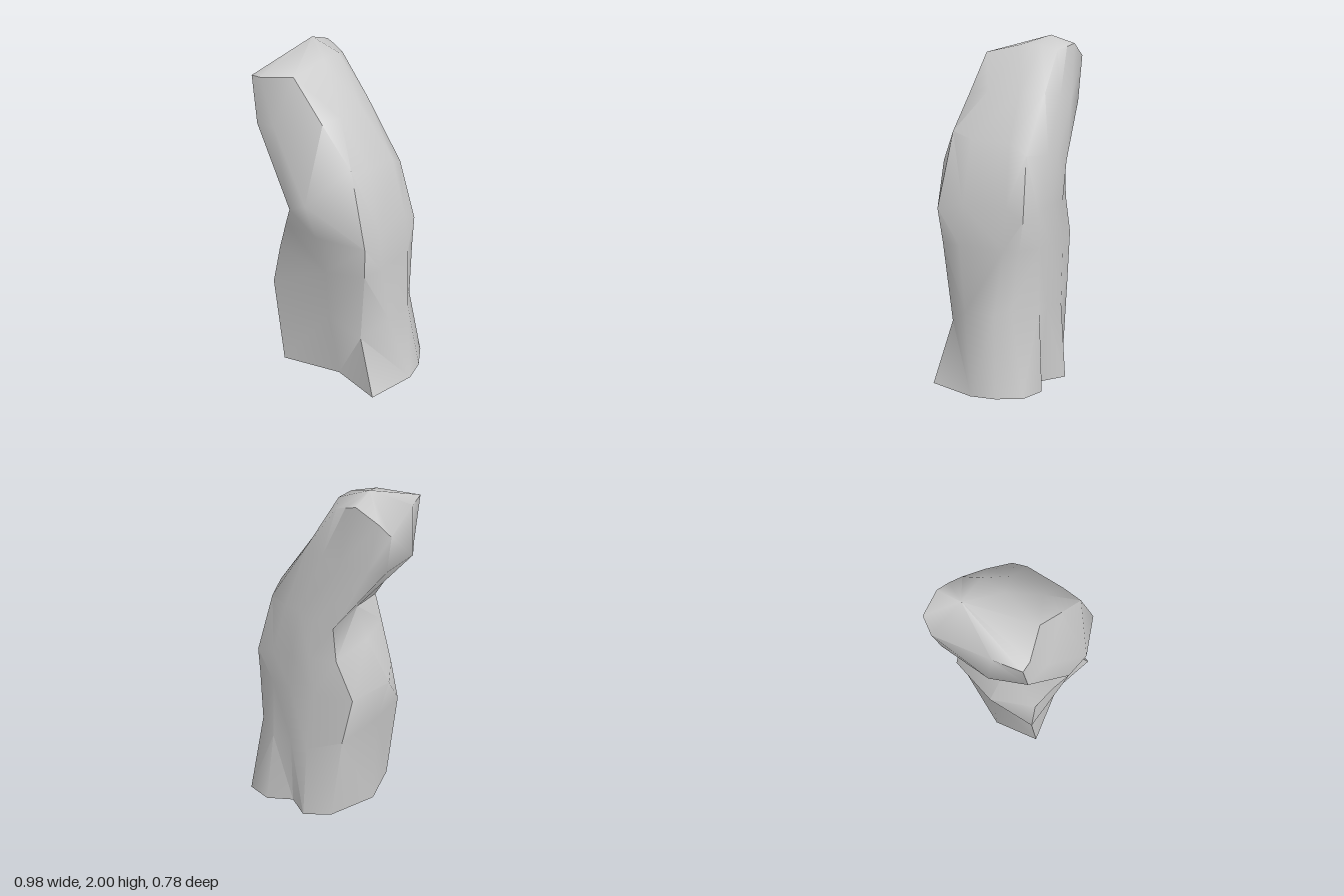
import * as THREE from 'three';
import { toCreasedNormals } from 'three/addons/utils/BufferGeometryUtils.js';

// One cross-section: x, z (and optional lift) per corner, counter-clockwise from
// the front left, lying on a plane at height y that rises by slope along x.
function ring(y, slope, corners) {
  return corners.map(([x, z, lift = 0]) => new THREE.Vector3(x, y + slope * x + lift, z));
}

// Joins the cross-sections with walls and closes both ends with fans.
function loft(rings, bottomPoint, topPoint) {
  const n = rings[0].length;
  const positions = [];
  const tri = (...corners) => corners.forEach((p) => positions.push(p.x, p.y, p.z));
  for (let r = 0; r < rings.length - 1; r++) {
    for (let i = 0; i < n; i++) {
      const j = (i + 1) % n;
      const a = rings[r][i], b = rings[r][j], c = rings[r + 1][j], d = rings[r + 1][i];
      // split along the shorter diagonal
      if (a.distanceTo(c) < b.distanceTo(d)) { tri(a, b, c); tri(a, c, d); }
      else { tri(a, b, d); tri(b, c, d); }
    }
  }
  const first = rings[0], last = rings[rings.length - 1];
  for (let i = 0; i < n; i++) {
    const j = (i + 1) % n;
    tri(bottomPoint, first[j], first[i]);
    tri(topPoint, last[i], last[j]);
  }
  const geometry = new THREE.BufferGeometry();
  geometry.setAttribute('position', new THREE.Float32BufferAttribute(positions, 3));
  return toCreasedNormals(geometry, 0.9);
}

export function createModel() {
  const group = new THREE.Group();
  group.name = 'rockPillar';

  // lobed foot
  const foot = ring(0, 0, [
    [-0.27, 0.26], [0.10, 0.18], [0.40, 0.26], [0.49, -0.03], [0.47, -0.17], [0.40, -0.31],
    [0.25, -0.36], [0.10, -0.295], [-0.03, -0.39], [-0.18, -0.31], [-0.32, -0.03]]);
  // lower trunk
  const lower = ring(0.45, 0, [
    [-0.33, 0.26, 0.12], [0.06, 0.23], [0.27, 0.20, -0.1], [0.38, 0.06], [0.395, -0.13], [0.35, -0.22, 0.03],
    [0.21, -0.325], [0.09, -0.32], [-0.04, -0.355], [-0.25, -0.31, 0.08], [-0.33, -0.02, 0.12]]);
  // belly bulge
  const belly = ring(0.82, 0, [
    [-0.28, 0.25], [0.10, 0.315], [0.315, 0.235], [0.35, 0.11], [0.355, -0.17], [0.335, -0.255],
    [0.20, -0.32], [0.08, -0.335], [-0.08, -0.345], [-0.31, -0.30], [-0.39, 0]]);
  // start of the hollow
  const waist = ring(1.05, 0, [
    [-0.18, 0.31], [0.06, 0.345], [0.33, 0.26, -0.03], [0.325, 0.10], [0.325, -0.17], [0.33, -0.275, -0.07],
    [0.20, -0.31, -0.04], [0.06, -0.34], [-0.06, -0.35], [-0.21, -0.31], [-0.23, 0.02]]);
  // bend
  const bend = ring(1.32, 0.4, [
    [-0.11, 0.36, -0.09], [0.02, 0.39, -0.07], [0.21, 0.22, 0.05], [0.235, 0.09], [0.24, -0.15, -0.02],
    [0.235, -0.25, -0.08], [0.10, -0.325, -0.03], [0, -0.345], [-0.10, -0.355], [-0.19, -0.31], [-0.17, 0.01]]);
  // leaning neck
  const neck = ring(1.67, 0.16, [
    [-0.39, 0.27], [-0.25, 0.30], [0.015, 0.21], [0.045, 0.08], [0.04, -0.12], [0, -0.26],
    [-0.12, -0.305], [-0.24, -0.325], [-0.39, -0.31], [-0.46, -0.22], [-0.47, 0.08]]);
  // uneven crown
  const crown = ring(1.88, 0, [
    [-0.42, 0.26], [-0.36, 0.26], [-0.18, 0.20, 0.02], [-0.145, -0.03, 0.06], [-0.145, -0.17, 0.06],
    [-0.18, -0.26, 0.03], [-0.25, -0.29, 0.05], [-0.32, -0.31, 0.07], [-0.45, -0.31],
    [-0.49, -0.24, -0.08], [-0.45, 0.10, -0.01]]);

  const rock = new THREE.Mesh(
    loft([foot, lower, belly, waist, bend, neck, crown],
      new THREE.Vector3(0.08, 0, -0.06), new THREE.Vector3(-0.32, 2, -0.16)),
    new THREE.MeshStandardMaterial({ color: 0xcccccc }));
  rock.name = 'rock';
  group.add(rock);
  return group;
}
